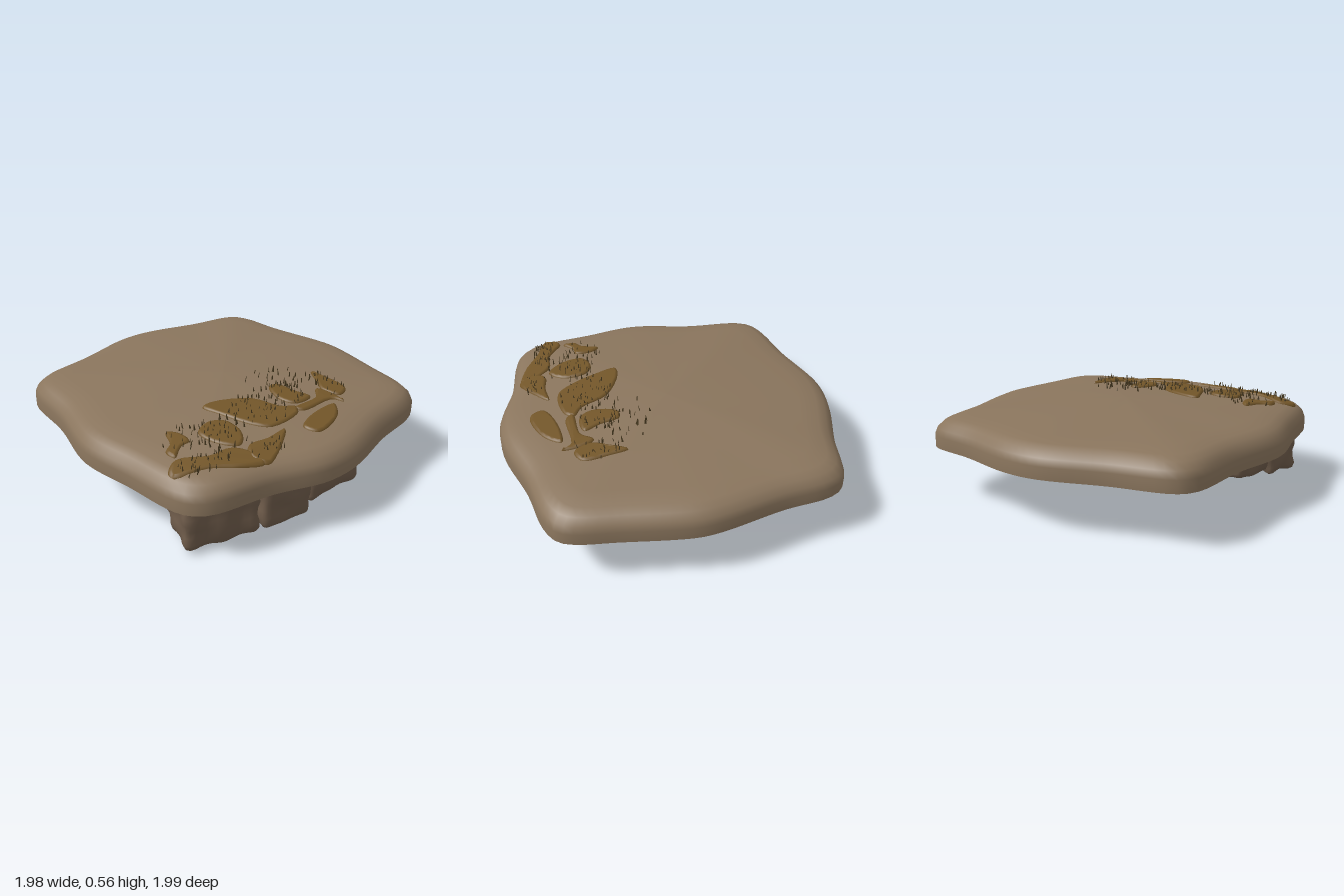
import * as THREE from 'three';
import { mergeVertices, mergeGeometries } from 'three/addons/utils/BufferGeometryUtils.js';

const mat = (color) => new THREE.MeshStandardMaterial({ color, side: THREE.DoubleSide });
const stone = mat(0x8a755d), rock = mat(0x6e5b4a), dirt = mat(0x735629), straw = mat(0x4a3c22);

let seed = 7;
const rand = () => (seed = (seed * 16807) % 2147483647) / 2147483647;

// Slab outline seen from above (x, z), and its dome profile (share of radius, height)
const outline = [[-.985, -.57], [-.93, -.67], [-.6, -.81], [-.26, -.97], [-.05, -1], [.3, -.965], [.61, -.95],
  [.69, -.87], [.78, -.6], [.93, -.25], [.965, -.12], [.98, .3], [.985, .52], [.96, .61], [.86, .69], [.6, .79],
  [.33, .93], [.2, .975], [.04, .995], [-.25, .955], [-.6, .955], [-.7, .91], [-.76, .83], [-.86, .53],
  [-.97, .2], [-.96, -.2]];
const profile = [[0, .53], [.2, .525], [.5, .507], [.8, .482], [.9, .465], [.95, .445], [.985, .41], [1, .37], [1, .3]];
const N = 120;
const rim = new THREE.CatmullRomCurve3(outline.map(([x, z]) => new THREE.Vector3(x, 0, z)), true).getSpacedPoints(N).slice(0, N);

// Height of the slab's top at a point
function slabY(x, z) {
  const r = Math.hypot(x, z);
  let best = rim[0], dot = -2;
  for (const p of rim) {
    const d = (p.x * x + p.z * z) / (p.length() * r + 1e-9);
    if (d > dot) { dot = d; best = p; }
  }
  const s = Math.min(r / best.length(), .999);
  const i = profile.findIndex((p) => p[0] > s);
  const [a, b] = [profile[i - 1], profile[i]];
  return a[1] + (b[1] - a[1]) * (s - a[0]) / (b[0] - a[0]);
}

// Domed shell, open underneath
function slabGeometry() {
  const pos = [], index = [];
  profile.forEach(([s, y]) => rim.forEach((p) => pos.push(p.x * s, y, p.z * s)));
  for (let j = 0; j < profile.length - 1; j++) {
    for (let i = 0; i < N; i++) {
      const a = j * N + i, b = j * N + (i + 1) % N, c = a + N, d = b + N;
      if (j > 0) index.push(a, b, c);
      index.push(b, d, c);
    }
  }
  const g = new THREE.BufferGeometry();
  g.setAttribute('position', new THREE.Float32BufferAttribute(pos, 3));
  g.setIndex(index);
  g.computeVertexNormals();
  if (g.attributes.normal.getY(N * 2) < 0) { // keep the outside facing out
    g.setIndex(index.reverse());
    g.computeVertexNormals();
  }
  return g;
}

// Rounded, lumpy block kept below the slab's top
function lumpGeometry(x0, x1, y0, y1, z0, z1, turn, r) {
  const half = new THREE.Vector3(x1 - x0, y1 - y0, z1 - z0).multiplyScalar(.5);
  const inner = half.clone().subScalar(r);
  let g = new THREE.BoxGeometry(half.x * 2, half.y * 2, half.z * 2, 14, 10, 14);
  g.deleteAttribute('uv');
  g.deleteAttribute('normal');
  g = mergeVertices(g);
  const p = g.attributes.position, v = new THREE.Vector3(), q = new THREE.Vector3();
  const up = new THREE.Vector3(0, 1, 0);
  for (let i = 0; i < p.count; i++) {
    v.fromBufferAttribute(p, i);
    q.copy(v).clamp(inner.clone().negate(), inner);
    const n = v.clone().sub(q).normalize();
    v.copy(q).addScaledVector(n, r).applyAxisAngle(up, turn);
    v.x += (x0 + x1) / 2; v.y += (y0 + y1) / 2; v.z += (z0 + z1) / 2;
    const bump = Math.sin(v.x * 31 + v.y * 17) * Math.sin(v.z * 29 - v.y * 23 + x0 * 9) + .6 * Math.sin(v.y * 43 + v.x * 12 + v.z * 16);
    v.addScaledVector(n.applyAxisAngle(up, turn), bump * .008);
    v.y = Math.min(v.y, slabY(v.x, v.z) - .012);
    p.setXYZ(i, v.x, v.y, v.z);
  }
  g.computeVertexNormals();
  return g;
}

// Thin dirt patch that follows the slab's top
function patchGeometry(points) {
  const curve = new THREE.CatmullRomCurve3(points.map(([x, z]) => new THREE.Vector3(x, -z, 0)), true);
  const shape = new THREE.Shape(curve.getPoints(36).slice(0, -1).map((p) => new THREE.Vector2(p.x, p.y)));
  let g = new THREE.ExtrudeGeometry(shape, { depth: .02, bevelSize: .015, bevelOffset: -.015, bevelThickness: .014, bevelSegments: 2, steps: 1 });
  g.rotateX(-Math.PI / 2);
  const p = g.attributes.position;
  for (let i = 0; i < p.count; i++) p.setY(i, p.getY(i) - .021 + slabY(p.getX(i), p.getZ(i)));
  g.deleteAttribute('uv');
  g.deleteAttribute('normal');
  g = mergeVertices(g);
  g.computeVertexNormals();
  return g;
}

export function createModel() {
  const model = new THREE.Group();
  const add = (name, geometry, material) => {
    const m = new THREE.Mesh(geometry, material);
    m.name = name;
    model.add(m);
  };

  add('slab', slabGeometry(), stone);

  // Supporting rocks with earth on top: x range, z range, bottom, turn
  const rocks = [
    [.18, .54, .09, .53, .045, .08],
    [.06, .47, .53, .78, .035, .2],
    [-.27, .06, .58, .87, .015, .1],
    [-.69, -.27, .62, .87, .025, -.12],
    [-.3, .2, .27, .62, .05, -.2],
    [-.64, -.42, .35, .66, .045, -.1],
    [-.46, -.22, .42, .72, .05, 0],
  ];
  for (const [x0, x1, z0, z1, y, turn] of rocks) {
    add('rock', lumpGeometry(x0, x1, y, .42, z0, z1, turn, .04), rock);
    add('earthCap', lumpGeometry(x0 + .005, x1 - .005, .36, .52, z0 + .005, z1 - .005, turn, .04), dirt);
  }

  // Earth showing through the top of the slab
  const patches = [
    [[-.73, .73], [-.66, .67], [-.5, .73], [-.37, .72], [-.28, .8], [-.26, .89], [-.4, .87], [-.55, .81], [-.72, .78]],
    [[-.27, .74], [-.15, .73], [-.02, .7], [-.08, .78], [-.25, .9], [-.31, .82]],
    [[-.45, .52], [-.36, .46], [-.27, .49], [-.24, .62], [-.31, .72], [-.41, .65]],
    [[-.31, .31], [-.24, .29], [-.02, .36], [.08, .5], [.16, .54], [.13, .6], [-.07, .65], [-.16, .58], [-.26, .42]],
    [[.14, .29], [.2, .28], [.25, .39], [.3, .48], [.18, .51], [.12, .44]],
    [[.08, .73], [.18, .65], [.38, .6], [.32, .71], [.13, .8]],
    [[.48, .23], [.52, .33], [.55, .48], [.47, .53], [.41, .45], [.44, .33]],
    [[.14, .55], [.32, .5], [.38, .42], [.43, .48], [.45, .6], [.4, .55], [.18, .59]],
    [[-.59, .42], [-.54, .46], [-.52, .56], [-.58, .58], [-.65, .65], [-.67, .58], [-.62, .53]],
  ];
  patches.forEach((pts) => add('earthPatch', patchGeometry(pts), dirt));

  // Dry grass blades: centre x, z, spread x, z, count
  const tufts = [[-.55, .77, .16, .07, 38], [-.34, .58, .15, .15, 45], [-.04, .48, .2, .15, 55], [.2, .4, .11, .13, 32],
    [.22, .22, .22, .13, 26], [.46, .42, .09, .15, 24], [-.22, .8, .13, .07, 16], [-.55, .52, .12, .13, 16]];
  const blades = [];
  for (const [cx, cz, rx, rz, count] of tufts) {
    for (let i = 0; i < count; i++) {
      const a = rand() * Math.PI * 2, r = Math.sqrt(rand());
      const x = cx + Math.cos(a) * r * rx, z = cz + Math.sin(a) * r * rz, h = .025 + rand() * .022;
      const blade = new THREE.CylinderGeometry(.002, .006, h, 4).scale(1, 1, .5);
      blade.rotateY(rand() * Math.PI).rotateZ((rand() - .5) * .5).rotateX((rand() - .5) * .4);
      blades.push(blade.translate(x, slabY(x, z) + h * .35, z));
    }
  }
  add('dryGrass', mergeGeometries(blades), straw);
  return model;
}
